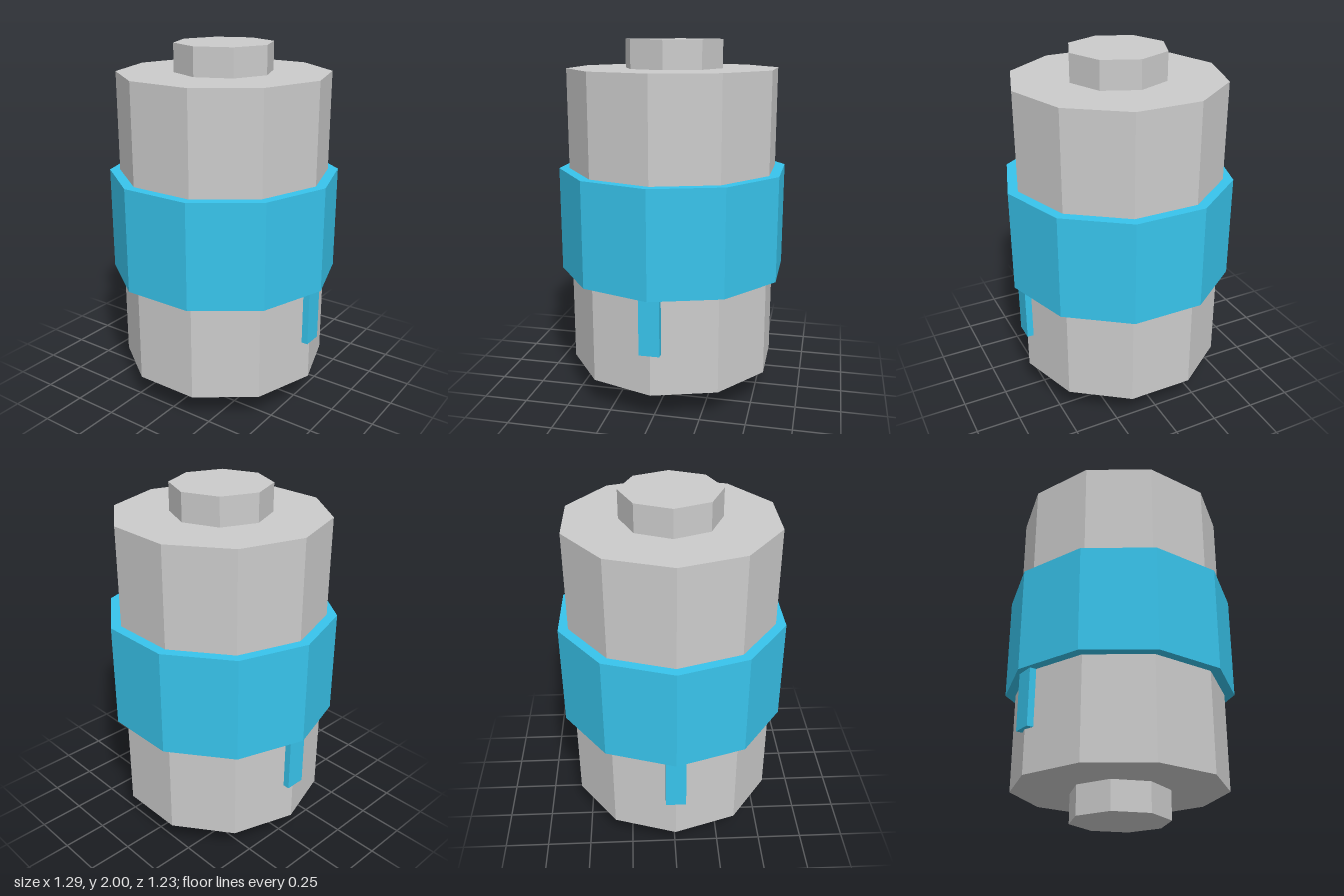
import * as THREE from 'three';

export function createModel() {
  const group = new THREE.Group();
  const grey = new THREE.MeshStandardMaterial({ color: 0xcccccc, flatShading: true });
  const blue = new THREE.MeshStandardMaterial({ color: 0x38c4ec, flatShading: true });

  const add = (name, geometry, material, x, y) => {
    const mesh = new THREE.Mesh(geometry, material);
    mesh.name = name;
    mesh.position.set(x, y, 0);
    group.add(mesh);
  };

  // Upright prism between two heights, with a corner on the x axis
  const prism = (name, radius, sides, y0, y1, material) =>
    add(name, new THREE.CylinderGeometry(radius, radius, y1 - y0, sides, 1, false, Math.PI / 2),
      material, 0, (y0 + y1) / 2);

  // Ten-sided drum with a wider band around its middle
  prism('body', 0.588, 10, 0.16, 1.845, grey);
  prism('band', 0.645, 10, 0.71, 1.295, blue);

  // Eight-sided end caps
  prism('bottomCap', 0.274, 8, 0, 0.16, grey);
  prism('topCap', 0.274, 8, 1.845, 2, grey);

  // Tabs hanging below the band on both sides
  for (const [name, side] of [['leftTab', 1], ['rightTab', -1]]) {
    add(name, new THREE.BoxGeometry(0.037, 0.315, 0.112), blue, side * 0.588, 0.5525);
  }

  return group;
}
